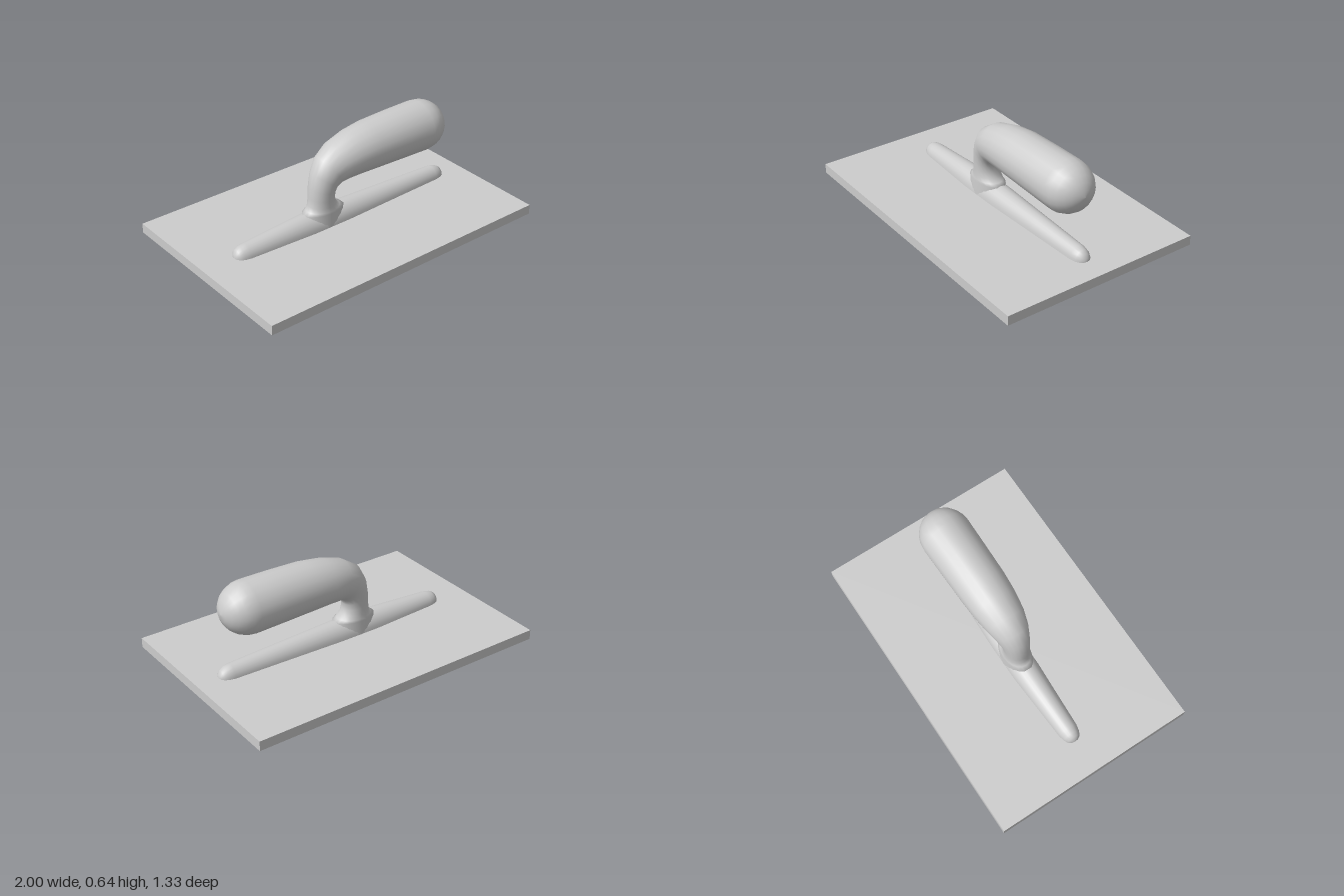
import * as THREE from 'three';

// Skins elliptical sections: centre (x, y), half-axis (ax, ay) in the side plane, half-width w in z.
// Sweeps the angle from t0 to t1; a full turn is welded shut.
function loft(sections, sides, t0, t1) {
  const closed = t1 - t0 > 6.28;
  const cols = closed ? sides : sides + 1;
  const pos = [], idx = [];
  for (const [x, y, ax, ay, w] of sections) {
    for (let j = 0; j < cols; j++) {
      const t = t0 + (t1 - t0) * j / sides;
      pos.push(x + ax * Math.cos(t), y + ay * Math.cos(t), w * Math.sin(t));
    }
  }
  for (let i = 0; i < sections.length - 1; i++) {
    for (let j = 0; j < sides; j++) {
      const k = (j + 1) % cols;
      const a = i * cols + j, b = i * cols + k, c = a + cols, d = b + cols;
      idx.push(a, b, c, b, d, c);
    }
  }
  const g = new THREE.BufferGeometry();
  g.setAttribute('position', new THREE.Float32BufferAttribute(pos, 3));
  g.setIndex(idx);
  g.computeVertexNormals();
  return g;
}

export function createModel() {
  const group = new THREE.Group();
  const grey = new THREE.MeshStandardMaterial({ color: 0xcccccc });
  grey.name = 'lightGrey';
  const add = (name, geometry) => {
    const mesh = new THREE.Mesh(geometry, grey);
    mesh.name = name;
    group.add(mesh);
    return mesh;
  };

  // Flat base plate
  const T = 0.063;
  add('plate', new THREE.BoxGeometry(2, T, 1.333)).position.y = T / 2;

  // Tapered spine along the plate: x, height, half-width
  const spine = [
    [-0.782, 0.001, 0.001], [-0.779, 0.025, 0.022], [-0.765, 0.05, 0.044], [-0.74, 0.063, 0.056],
    [-0.7, 0.07, 0.065], [-0.45, 0.085, 0.078], [-0.25, 0.098, 0.089], [0.02, 0.098, 0.089],
    [0.4, 0.084, 0.075], [0.77, 0.07, 0.062], [0.81, 0.062, 0.054], [0.835, 0.045, 0.04],
    [0.849, 0.02, 0.022], [0.852, 0.001, 0.001],
  ];
  add('spine', loft(spine.map(([x, h, w]) => [x, T - 0.002, 0, h, w]), 12, -Math.PI / 2, Math.PI / 2));

  // Neck and grip: outer x, y, inner x, y, half-width
  const grip = [
    [-0.26, 0.06, 0.01, 0.06, 0.09],
    [-0.27, 0.155, 0.025, 0.155, 0.087],
    [-0.24, 0.17, -0.008, 0.168, 0.084],
    [-0.224, 0.2, -0.035, 0.195, 0.081],
    [-0.219, 0.25, -0.047, 0.23, 0.08],
    [-0.214, 0.32, -0.048, 0.265, 0.084],
    [-0.195, 0.415, -0.035, 0.293, 0.093],
    [-0.145, 0.505, -0.012, 0.313, 0.11],
    [-0.045, 0.572, 0.03, 0.322, 0.131],
    [0.09, 0.612, 0.11, 0.325, 0.147],
    [0.23, 0.632, 0.23, 0.322, 0.156],
    [0.45, 0.639, 0.45, 0.315, 0.161],
    [0.64, 0.64, 0.64, 0.31, 0.165],
  ].map(([ox, oy, ix, iy, w]) => [(ox + ix) / 2, (oy + iy) / 2, (ox - ix) / 2, (oy - iy) / 2, w]);

  // Rounded grip end
  for (let i = 1; i <= 6; i++) {
    const a = i / 6 * Math.PI / 2;
    const r = Math.max(0.165 * Math.cos(a), 0.001);
    grip.push([0.64 + 0.178 * Math.sin(a), 0.475, 0, r, r]);
  }
  add('handle', loft(grip, 20, 0, Math.PI * 2));

  return group;
}
